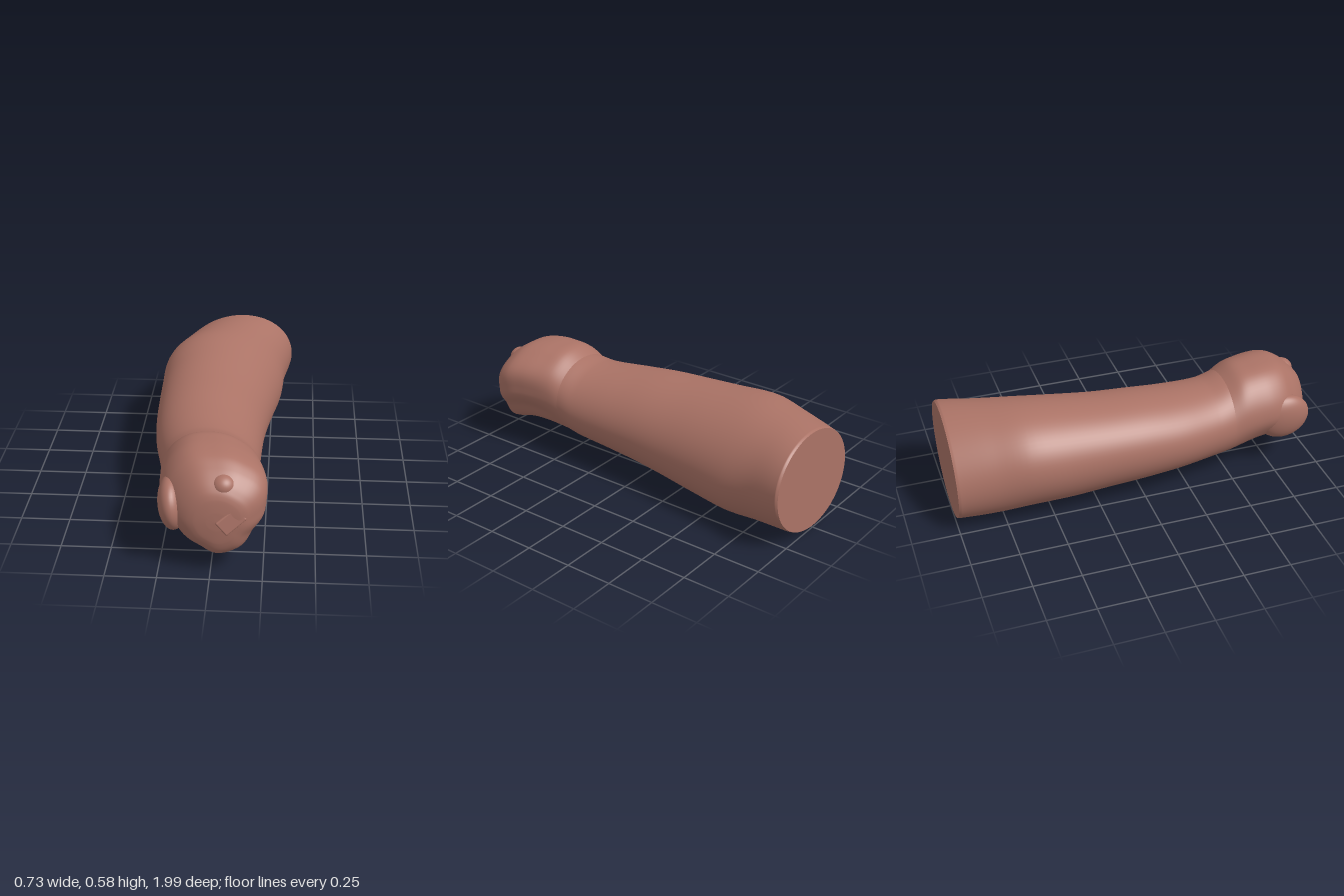
import * as THREE from 'three';
import { RoundedBoxGeometry } from 'three/addons/geometries/RoundedBoxGeometry.js';

const SIDES = 72;

// Sections: z, xMin, xMax, yMin, yMax, tilt (shear of the oval), fist (0 oval .. 1 fist outline)
const ARM = [
  [-1.0, -0.295, 0.355, 0.012, 0.556, 0.12, 0],
  [-0.985, -0.3, 0.362, 0.01, 0.562, 0.12, 0],
  [-0.8, -0.335, 0.325, 0.003, 0.575, 0.0, 0],
  [-0.62, -0.365, 0.31, 0.003, 0.583, -0.12, 0],
  [-0.4, -0.363, 0.275, 0.014, 0.565, -0.12, 0],
  [-0.2, -0.358, 0.247, 0.035, 0.548, -0.12, 0],
  [0.0, -0.35, 0.228, 0.054, 0.535, -0.1, 0],
  [0.2, -0.33, 0.219, 0.072, 0.516, -0.08, 0],
  [0.4, -0.29, 0.215, 0.09, 0.506, -0.05, 0],
  [0.5, -0.27, 0.215, 0.097, 0.525, 0, 0.2],
];
const HAND = [
  ARM[ARM.length - 1],
  [0.57, -0.266, 0.227, 0.1, 0.568, 0, 0.5],
  [0.65, -0.26, 0.244, 0.107, 0.579, 0, 0.85],
  [0.73, -0.253, 0.262, 0.111, 0.58, 0, 1],
  [0.81, -0.232, 0.275, 0.104, 0.568, 0, 1],
  [0.87, -0.2, 0.266, 0.09, 0.535, 0, 1],
  [0.91, -0.17, 0.24, 0.093, 0.503, 0, 1],
  [0.945, -0.13, 0.2, 0.12, 0.465, 0, 0.9],
  [0.968, -0.08, 0.155, 0.175, 0.42, 0, 0.6],
  [0.977, -0.02, 0.09, 0.25, 0.355, 0, 0.2],
  [0.979, 0.03, 0.03, 0.3, 0.3, 0, 0],
];
// Radius of the fist outline every 30 degrees, relative to its oval
const FIST = [0.94, 1.04, 0.98, 0.97, 1.03, 1.01, 1.01, 0.94, 0.89, 0.99, 0.95, 0.84];

function fistRadius(t) {
  const p = t / (Math.PI / 6), i = Math.floor(p), f = p - i;
  const s = f * f * (3 - 2 * f);
  return FIST[i % 12] * (1 - s) + FIST[(i + 1) % 12] * s;
}

// One closed ring of points, counterclockwise seen from the front
function ring([z, x0, x1, y0, y1, tilt, fist]) {
  const points = [];
  for (let j = 0; j < SIDES; j++) {
    const t = (j / SIDES) * Math.PI * 2;
    const r = 1 + (fistRadius(t) - 1) * fist;
    points.push([
      (x0 + x1) / 2 + ((x1 - x0) / 2) * r * Math.cos(t),
      (y0 + y1) / 2 + ((y1 - y0) / 2) * r * Math.sin(t + tilt),
      z,
    ]);
  }
  return points;
}

// Smoothly subdivide the section table
function refine(rows, steps) {
  const out = [];
  const at = (i) => rows[Math.max(0, Math.min(rows.length - 1, i))];
  for (let i = 0; i < rows.length - 1; i++) {
    for (let s = 0; s < steps; s++) {
      const f = s / steps;
      out.push(at(i).map((b, k) => {
        const a = at(i - 1)[k], c = at(i + 1)[k], d = at(i + 2)[k];
        // slopes respect uneven spacing along z
        const h = at(i + 1)[0] - at(i)[0];
        const m0 = (h * (c - a)) / (at(i + 1)[0] - at(i - 1)[0]);
        const m1 = (h * (d - b)) / (at(i + 2)[0] - at(i)[0]);
        const f2 = f * f, f3 = f2 * f;
        return (2 * f3 - 3 * f2 + 1) * b + (f3 - 2 * f2 + f) * m0 + (3 * f2 - 2 * f3) * c + (f3 - f2) * m1;
      }));
    }
  }
  out.push(rows[rows.length - 1]);
  return out;
}

function loft(rows) {
  const index = [];
  for (let i = 0; i < rows.length - 1; i++) {
    for (let j = 0; j < SIDES; j++) {
      const k = (j + 1) % SIDES;
      const a = i * SIDES + j, b = i * SIDES + k, c = a + SIDES, d = b + SIDES;
      index.push(a, b, c, b, d, c);
    }
  }
  const geometry = new THREE.BufferGeometry();
  geometry.setAttribute('position', new THREE.Float32BufferAttribute(rows.map(ring).flat(2), 3));
  geometry.setIndex(index);
  geometry.computeVertexNormals();
  return geometry;
}

export function createModel() {
  const group = new THREE.Group();
  const skin = new THREE.MeshStandardMaterial({ color: 0xab7366 });
  skin.name = 'skin';

  const add = (name, geometry) => {
    const mesh = new THREE.Mesh(geometry, skin);
    mesh.name = name;
    group.add(mesh);
    return mesh;
  };

  add('forearm', loft(refine(ARM, 6)));
  add('fist', loft(refine(HAND, 5)));

  // Flat cut at the elbow end
  const [z, x0, x1, y0, y1, tilt] = ARM[0];
  const cx = (x0 + x1) / 2, cy = (y0 + y1) / 2;
  add('elbowCap', loft([[z, cx, cx, cy, cy, tilt, 0], ARM[0]]));

  // Thumb folded against the side of the fist
  const ball = new THREE.SphereGeometry(1, 40, 28);
  const thumb = add('thumb', ball);
  thumb.scale.set(0.07, 0.133, 0.145);
  thumb.position.set(-0.187, 0.309, 0.805);
  thumb.rotation.z = 0.1;

  // Low knuckle swelling
  const knuckle = add('knuckle', ball);
  knuckle.scale.set(0.06, 0.055, 0.06);
  knuckle.position.set(0.06, 0.455, 0.893);

  // Small raised rectangular pad on the front
  const pad = add('frontPad', new RoundedBoxGeometry(0.127, 0.084, 0.045, 3, 0.008));
  pad.position.set(0.098, 0.306, 0.957);
  pad.rotation.set(-0.12, 0.2, 0.69, 'XYZ');

  return group;
}
